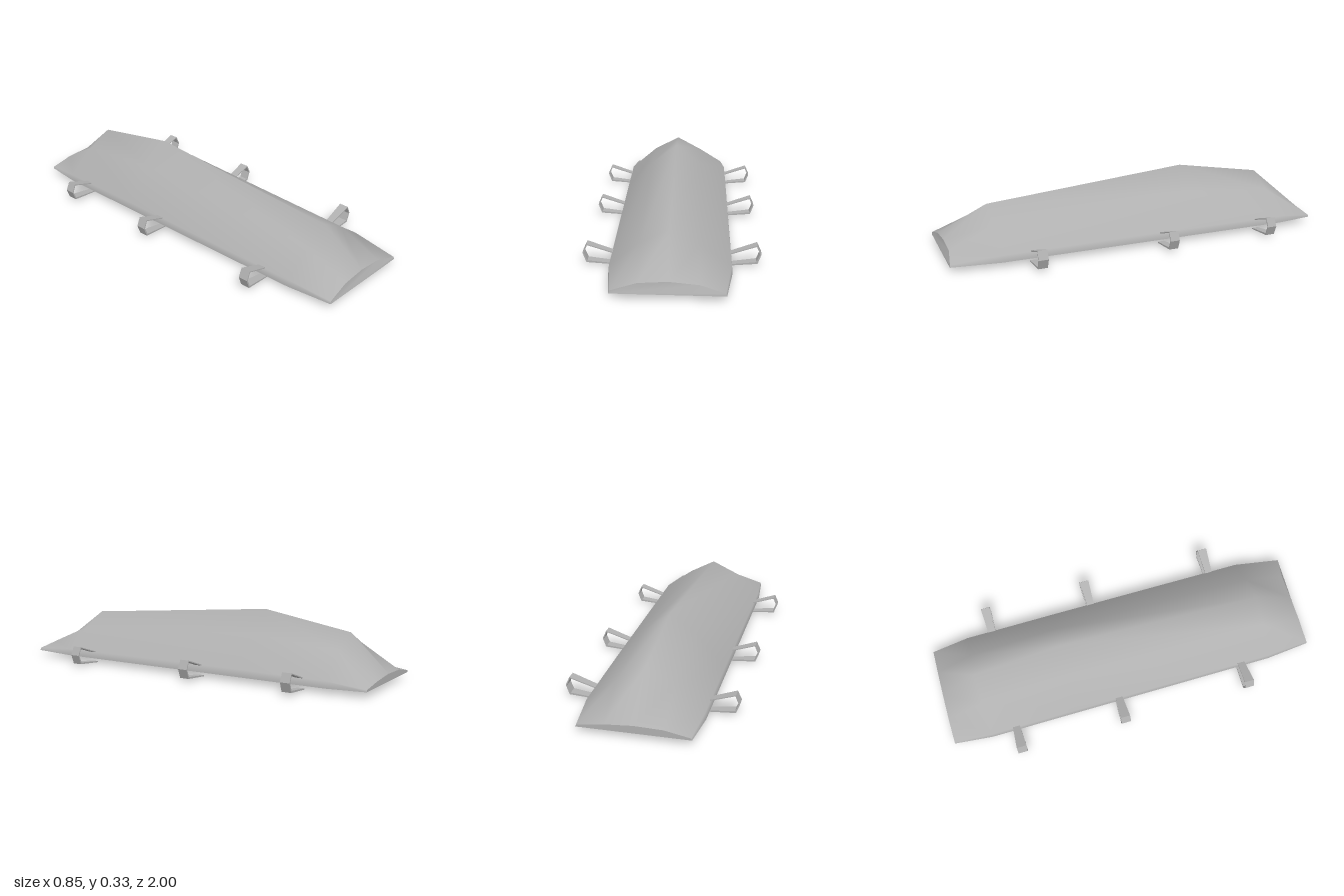
import * as THREE from 'three';

const fabric = new THREE.MeshStandardMaterial({ color: 0xb0b0b0 });
fabric.name = 'grey fabric';

// Cross-sections from back to front, each running left to right over the ridge: [x, y, z]
const section = (z, base, rim, shoulder, ridge, [xl, xr] = [-0.292, 0.28]) => [
  [xl, base, z], [xl + 0.004, rim, z], [-0.145, shoulder + 0.006, z], [-0.008, ridge, z],
  [0.13, shoulder, z], [xr - 0.004, rim, z], [xr, base, z],
];
const sections = [
  section(-1, 0.028, 0.038, 0.056, 0.066, [-0.272, 0.262]),
  section(-0.8, 0.025, 0.06, 0.175, 0.25),
  section(-0.33, 0.025, 0.063, 0.22, 0.33),
  section(0.75, 0.025, 0.06, 0.165, 0.238),
  section(0.98, 0.025, 0.038, 0.067, 0.08, [-0.27, 0.248]),
];
// The front hem is slightly skewed
const hemZ = [0.983, 0.981, 0.976, 0.975, 0.977, 0.998, 1];
sections[4].forEach((p, j) => { p[2] = hemZ[j]; });

function geometryFrom(points, index) {
  const g = new THREE.BufferGeometry();
  g.setAttribute('position', new THREE.Float32BufferAttribute(points.flat(), 3));
  g.setIndex(index);
  g.computeVertexNormals();
  return g;
}

function addMesh(parent, name, geometry) {
  const mesh = new THREE.Mesh(geometry, fabric);
  mesh.name = name;
  parent.add(mesh);
  return mesh;
}

// Grid of triangles between neighbouring rows
function gridIndex(rows, cols, flip) {
  const index = [];
  for (let i = 0; i < rows - 1; i++) {
    for (let j = 0; j < cols - 1; j++) {
      const a = i * cols + j, b = a + 1, c = a + cols, d = c + 1;
      if (flip) index.push(a, b, c, b, d, c);
      else index.push(a, c, b, b, c, d);
    }
  }
  return index;
}

function endCap(points, front) {
  const index = [];
  for (let k = 1; k < points.length - 1; k++) index.push(0, front ? k + 1 : k, front ? k : k + 1);
  return geometryFrom(points, index);
}

// Bent ribbon, swept along z and slightly wider at its outer bend
function strapGeometry(side) {
  const path = [[0.262, 0.06], [0.4, 0.106], [0.42, 0.062], [0.402, 0.018], [0.252, 0.005]];
  const inner = [[0.262, 0.066], [0.397, 0.1], [0.413, 0.062], [0.397, 0.013], [0.252, 0]];
  // Outer edge and return edge of the ribbon
  inner[0][1] = 0.054;
  inner[3][1] = 0.023;
  path[3][1] = 0.014;
  path[4][1] = 0;
  inner[4][1] = 0.006;
  const outline = [...path, ...inner.reverse()].map(([x, y]) => new THREE.Vector2(side * x - (side < 0 ? 0.008 : 0), y));
  const g = new THREE.ExtrudeGeometry(new THREE.Shape(outline), { depth: 1, bevelEnabled: false });
  const pos = g.attributes.position;
  for (let i = 0; i < pos.count; i++) {
    const reach = THREE.MathUtils.clamp((Math.abs(pos.getX(i)) - 0.26) / 0.15, 0, 1);
    pos.setZ(i, (pos.getZ(i) - 0.5) * (0.036 + 0.014 * reach));
  }
  g.computeVertexNormals();
  return g;
}

export function createModel() {
  const model = new THREE.Group();
  model.name = 'lowTent';

  // Smooth ridged cover with closed ends and floor
  const cover = new THREE.Group();
  cover.name = 'cover';
  addMesh(cover, 'roof', geometryFrom(sections.flat(), gridIndex(5, 7, false)));
  const floorEdges = sections.flatMap((s) => [s[0], s[6]]);
  addMesh(cover, 'floor', geometryFrom(floorEdges, gridIndex(5, 2, true)));
  addMesh(cover, 'backEnd', endCap(sections[0], false));
  addMesh(cover, 'frontEnd', endCap(sections[4], true));
  model.add(cover);

  // Three strap loops along each side
  for (const side of [-1, 1]) {
    const geometry = strapGeometry(side);
    for (const z of [-0.665, -0.1, 0.59]) {
      addMesh(model, side > 0 ? 'leftStrap' : 'rightStrap', geometry).position.z = z;
    }
  }
  return model;
}
